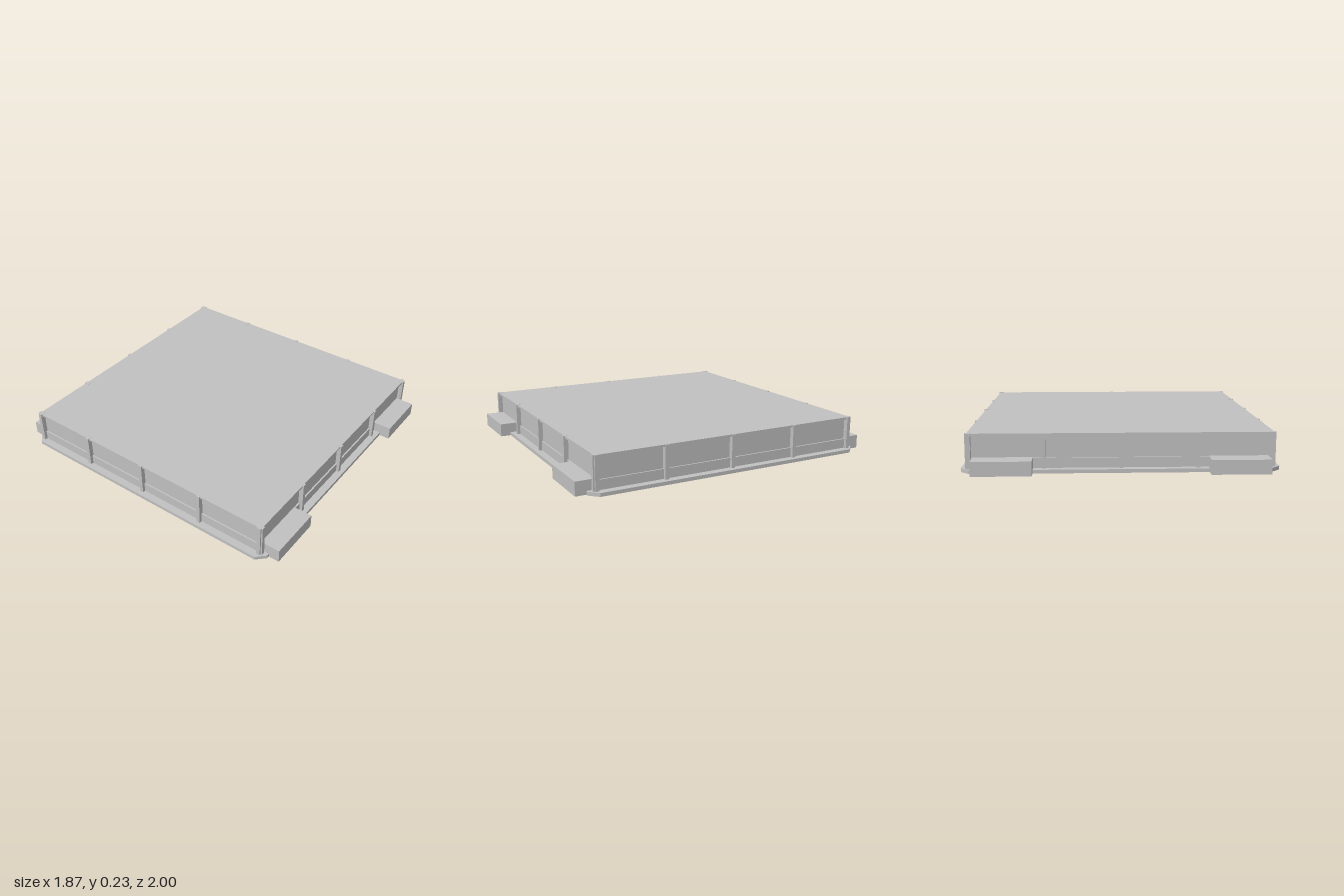
import * as THREE from 'three';

export function createModel() {
  const model = new THREE.Group();
  const grey = new THREE.MeshStandardMaterial({ color: 0xc0c0c0 });
  grey.name = 'light grey';

  const box = (parent, name, w, h, d, x, y, z) => {
    const mesh = new THREE.Mesh(new THREE.BoxGeometry(w, h, d), grey);
    mesh.name = name;
    mesh.position.set(x, y, z);
    parent.add(mesh);
    return mesh;
  };

  // Base slab with cut corners
  const R = 0.933, C = 0.88;
  const outline = new THREE.Shape([
    [C, -R], [R, -C], [R, C], [C, R], [-C, R], [-R, C], [-R, -C], [-C, -R],
  ].map(([x, y]) => new THREE.Vector2(x, y)));
  const slab = new THREE.ExtrudeGeometry(outline, { depth: 0.022, bevelEnabled: false });
  slab.rotateX(-Math.PI / 2);
  const base = new THREE.Mesh(slab, grey);
  base.name = 'baseSlab';
  model.add(base);

  // Body: low plinth wall, recessed panels and overhanging roof
  box(model, 'plinthWall', 1.772, 0.06, 1.772, 0, 0.052, 0);
  box(model, 'recessedPanels', 1.752, 0.136, 1.752, 0, 0.149, 0);
  box(model, 'roof', 1.792, 0.013, 1.792, 0, 0.2225, 0);

  // Posts along each of the four sides
  for (let side = 0; side < 4; side++) {
    const wall = new THREE.Group();
    wall.name = 'wallPosts';
    wall.rotation.y = side * Math.PI / 2;
    for (const x of [-0.45, 0, 0.45]) {
      box(wall, 'post', 0.024, 0.208, 0.034, x, 0.126, 0.888);
    }
    model.add(wall);
  }

  // Corner posts and the projecting blocks on front and back
  for (const sx of [-1, 1]) {
    for (const sz of [-1, 1]) {
      box(model, 'cornerPostFront', 0.024, 0.208, 0.034, sx * 0.884, 0.126, sz * 0.888);
      box(model, 'cornerPostSide', 0.034, 0.208, 0.024, sx * 0.888, 0.126, sz * 0.884);
      box(model, 'projectingBlock', 0.35, 0.086, 0.12, sx * 0.689, 0.043, sz * 0.94);
    }
  }
  return model;
}
